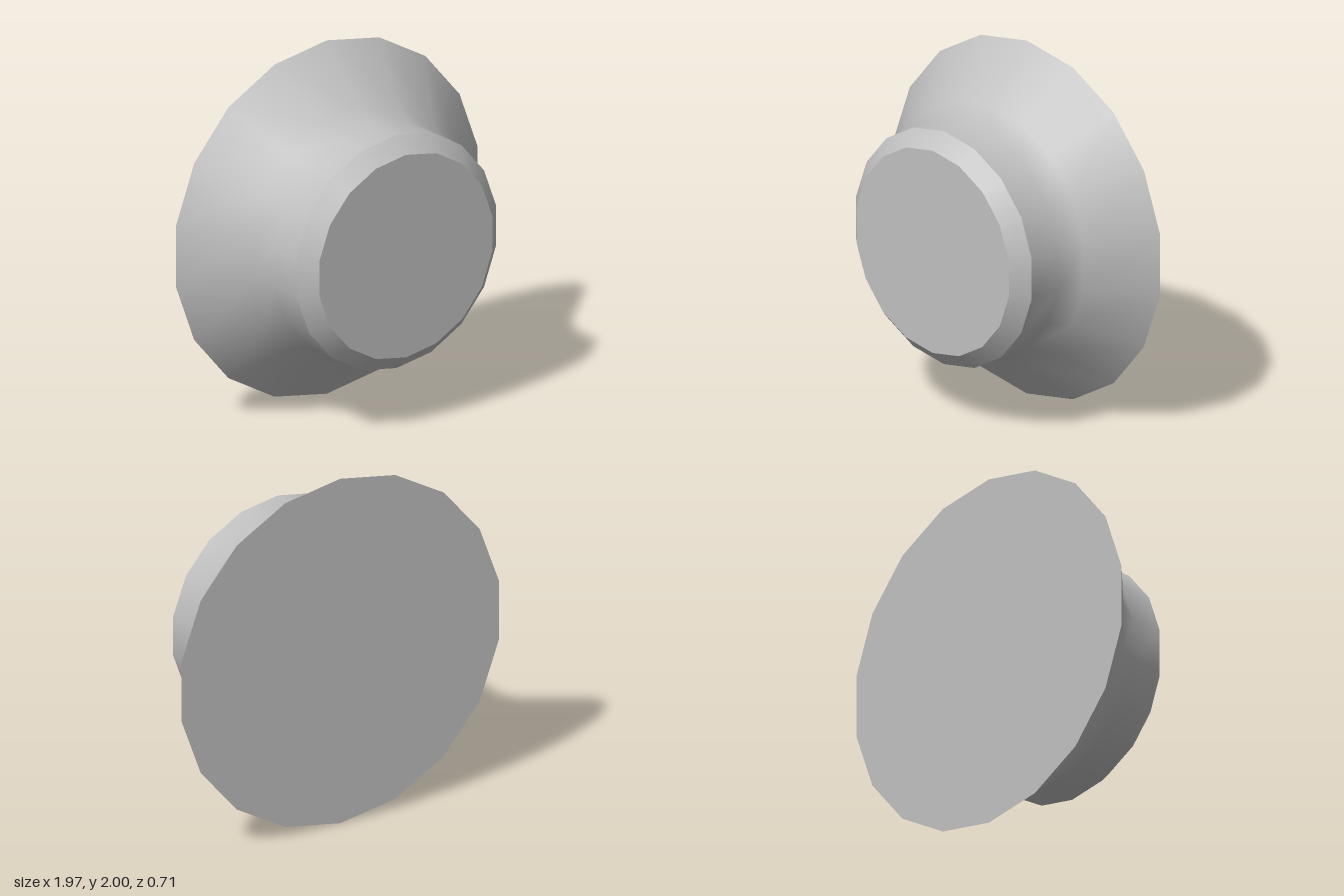
import * as THREE from 'three';

const SIDES = 18;

export function createModel() {
  const group = new THREE.Group();
  group.name = 'flaredKnob';
  const grey = new THREE.MeshStandardMaterial({ color: 0xc0c0c0 });
  grey.name = 'grey';

  const add = (name, geometry) => {
    const mesh = new THREE.Mesh(geometry, grey);
    mesh.name = name;
    mesh.position.y = 1;
    group.add(mesh);
  };

  // Ring turned around the z axis from [radius, z] points, back to front
  const turned = (points) => new THREE.LatheGeometry(
    points.map(([r, z]) => new THREE.Vector2(r, z)), SIDES).rotateX(Math.PI / 2);

  // Flat end disc with a corner at the top, facing +z
  const disc = (r) => new THREE.CircleGeometry(r, SIDES, Math.PI / 2);

  // Smooth flare running into the straight collar
  add('flaredBody', turned([[1, -0.355], [0.72, -0.06], [0.66, 0.07], [0.66, 0.27]]));

  // Chamfer around the front face
  add('frontBevel', turned([[0.66, 0.27], [0.573, 0.355]]));

  // End faces
  add('frontFace', disc(0.573).translate(0, 0, 0.355));
  add('backFace', disc(1).rotateY(Math.PI).translate(0, 0, -0.355));

  return group;
}
